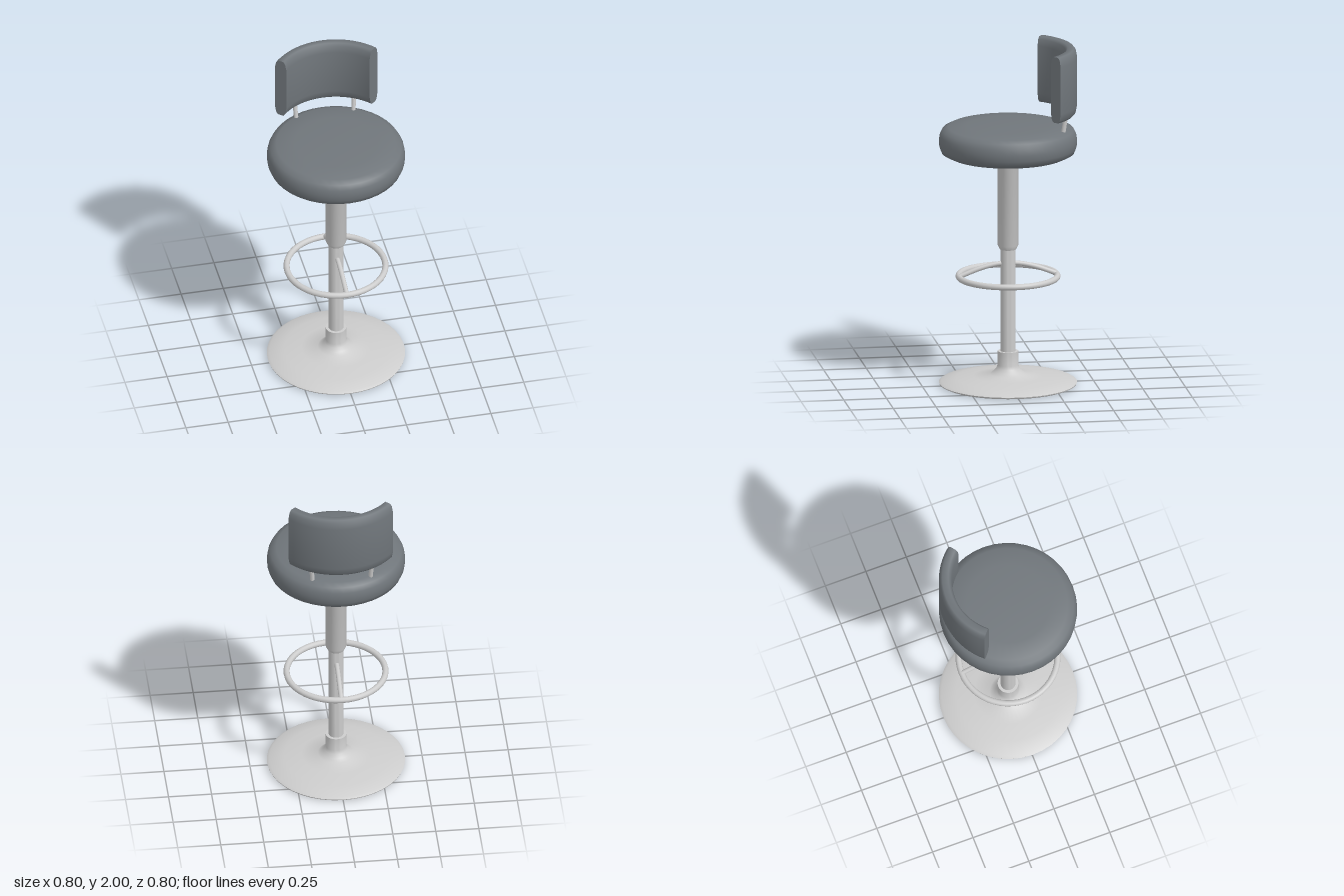
import * as THREE from 'three';
import { toCreasedNormals } from 'three/addons/utils/BufferGeometryUtils.js';

const V2 = (p) => new THREE.Vector2(p[0], p[1]);
const V3 = (x, y, z) => new THREE.Vector3(x, y, z);

export function createModel() {
  const group = new THREE.Group();
  const leather = new THREE.MeshStandardMaterial({ color: 0x70767b });
  leather.name = 'greyLeather';
  const metal = new THREE.MeshStandardMaterial({ color: 0xcccccc });
  metal.name = 'paleMetal';

  const add = (name, geometry, material) => {
    const mesh = new THREE.Mesh(geometry, material);
    mesh.name = name;
    group.add(mesh);
    return mesh;
  };
  // Turned part; profile runs from the bottom axis, outwards and up
  const turned = (name, points, material, segments = 40, crease = 0.7) =>
    add(name, toCreasedNormals(new THREE.LatheGeometry(points.map(V2), segments), crease), material);

  // Trumpet base with collar
  turned('base', [
    [0, 0.004], [0.385, 0.004], [0.398, 0.01], [0.4, 0.016], [0.385, 0.025], [0.3, 0.042], [0.2, 0.054],
    [0.105, 0.064], [0.085, 0.08], [0.068, 0.098], [0.06, 0.118], [0.06, 0.2], [0, 0.2],
  ], metal);

  // Telescoping column
  turned('lowerColumn', [[0.043, 0.18], [0.043, 0.83]], metal, 32);
  turned('upperColumn', [
    [0.043, 0.805], [0.048, 0.805], [0.06, 0.83], [0.06, 1.325], [0.066, 1.335], [0.115, 1.367],
  ], metal, 32);

  // Foot ring and its two arched struts
  const ring = add('footRing', new THREE.TorusGeometry(0.286, 0.018, 12, 48), metal);
  ring.rotation.x = Math.PI / 2;
  ring.position.y = 0.645;
  for (const side of [1, -1]) {
    const arch = new THREE.CatmullRomCurve3([
      V3(0, 0.722, side * 0.02), V3(0, 0.718, side * 0.07),
      V3(0, 0.697, side * 0.16), V3(0, 0.65, side * 0.285),
    ]);
    add(side > 0 ? 'frontStrut' : 'backStrut', new THREE.TubeGeometry(arch, 12, 0.014, 10), metal);
  }

  // Round cushion
  turned('seat', [
    [0, 1.365], [0.345, 1.365], [0.385, 1.385], [0.397, 1.415], [0.4, 1.45], [0.395, 1.485],
    [0.38, 1.515], [0.345, 1.532], [0.24, 1.54], [0.12, 1.545], [0, 1.546],
  ], leather, 40, 1.0);

  // Posts carrying the backrest
  for (const side of [1, -1]) {
    const post = new THREE.LineCurve3(V3(side * 0.168, 1.5, -0.293), V3(side * 0.177, 1.66, -0.317));
    add(side > 0 ? 'leftBackPost' : 'rightBackPost', new THREE.TubeGeometry(post, 1, 0.013, 12), metal);
  }

  // Backrest: padded section extruded, then bent around the seat axis
  const section = new THREE.Shape([
    [0.345, 1.61], [0.38, 1.61], [0.392, 1.625], [0.4, 1.665], [0.4, 1.945], [0.392, 1.985],
    [0.38, 2], [0.345, 2], [0.333, 1.985], [0.325, 1.945], [0.325, 1.665], [0.333, 1.625],
  ].map(V2));
  const sweep = 1.724;
  const back = new THREE.ExtrudeGeometry(section, { depth: sweep, steps: 20, bevelEnabled: false });
  const pos = back.attributes.position;
  for (let i = 0; i < pos.count; i++) {
    const r = pos.getX(i);
    const angle = Math.PI + sweep / 2 - pos.getZ(i);
    pos.setXYZ(i, r * Math.sin(angle), pos.getY(i), r * Math.cos(angle));
  }
  back.clearGroups();
  add('backrest', toCreasedNormals(back, 1.0), leather);

  return group;
}
